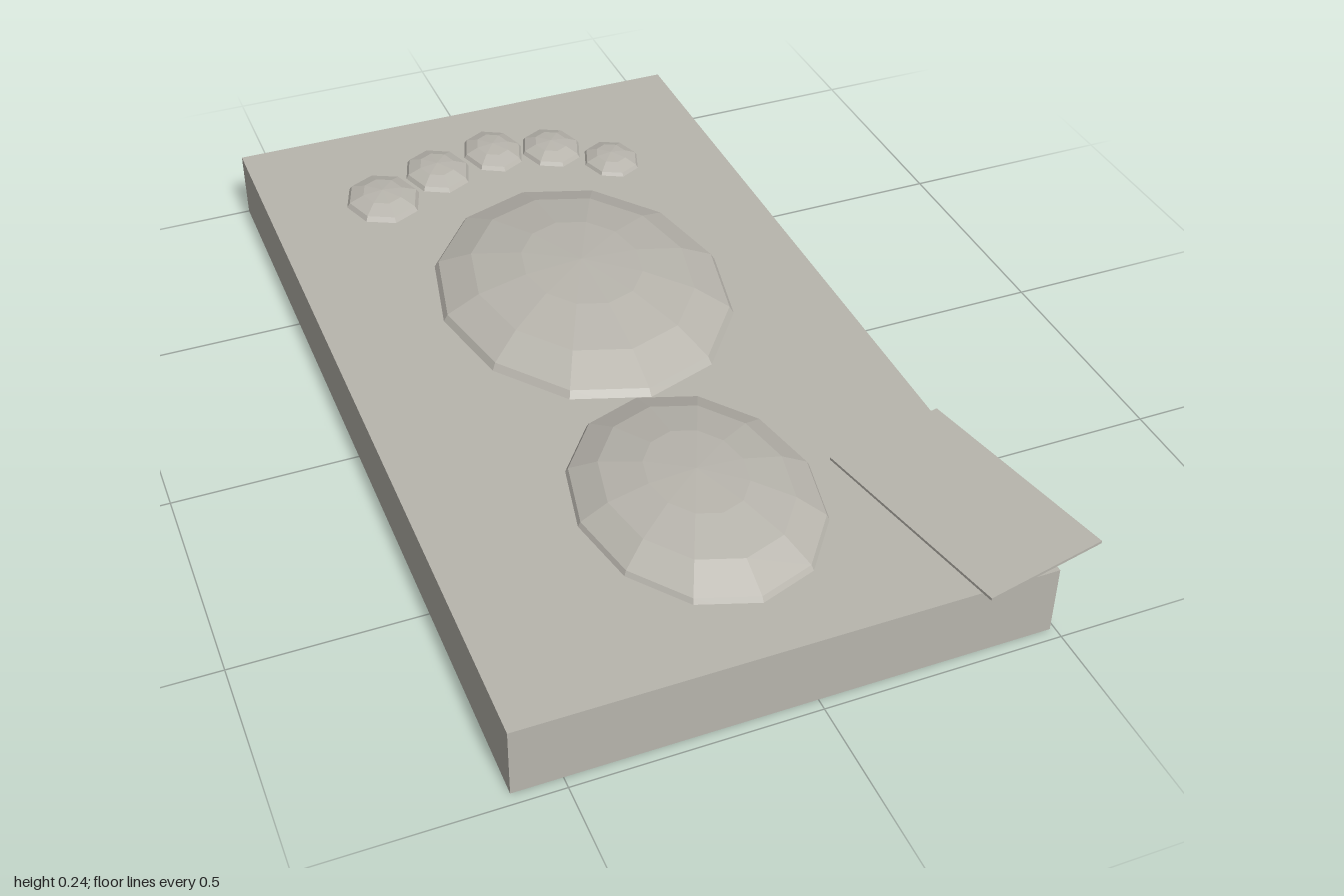
import * as THREE from 'three';

export function createModel() {
  const group = new THREE.Group();
  group.name = 'footprintSlab';
  const stone = new THREE.MeshStandardMaterial({ color: 0xb8b5ad, flatShading: true });
  stone.name = 'warm grey stone';

  function add(name, geometry, x, y, z) {
    const mesh = new THREE.Mesh(geometry, stone);
    mesh.name = name;
    mesh.position.set(x, y, z);
    group.add(mesh);
    return mesh;
  }

  // Flattened low-poly ball, partly sunk into the slab
  function pad(name, x, y, z, rx, ry, rz, sides, rings) {
    add(name, new THREE.SphereGeometry(1, sides, rings).scale(rx, ry, rz), x, y, z);
  }

  // Base slab
  add('slab', new THREE.BoxGeometry(1.09, 0.155, 1.975), -0.055, 0.0775, -0.0125);

  // Ball of the foot and heel
  pad('ballOfFoot', -0.025, 0.128, -0.188, 0.336, 0.11, 0.428, 12, 8);
  pad('heel', -0.06, 0.128, 0.532, 0.259, 0.097, 0.336, 12, 8);

  // Toes, from largest to smallest: x, z, half width, half length, half height
  const toes = [
    [-0.333, -0.695, 0.093, 0.111, 0.037],
    [-0.178, -0.763, 0.083, 0.103, 0.035],
    [-0.026, -0.8, 0.077, 0.1, 0.034],
    [0.111, -0.763, 0.077, 0.094, 0.033],
    [0.229, -0.662, 0.071, 0.087, 0.031],
  ];
  toes.forEach(([x, z, rx, rz, ry], i) => pad(`toe${i + 1}`, x, 0.147, z, rx, ry, rz, 8, 6));

  // Thin tag overhanging the front corner
  const tag = add('cornerTag', new THREE.BoxGeometry(0.277, 0.006, 0.476), 0.415, 0.159, 0.7375);
  tag.rotation.y = 0.212;

  return group;
}
